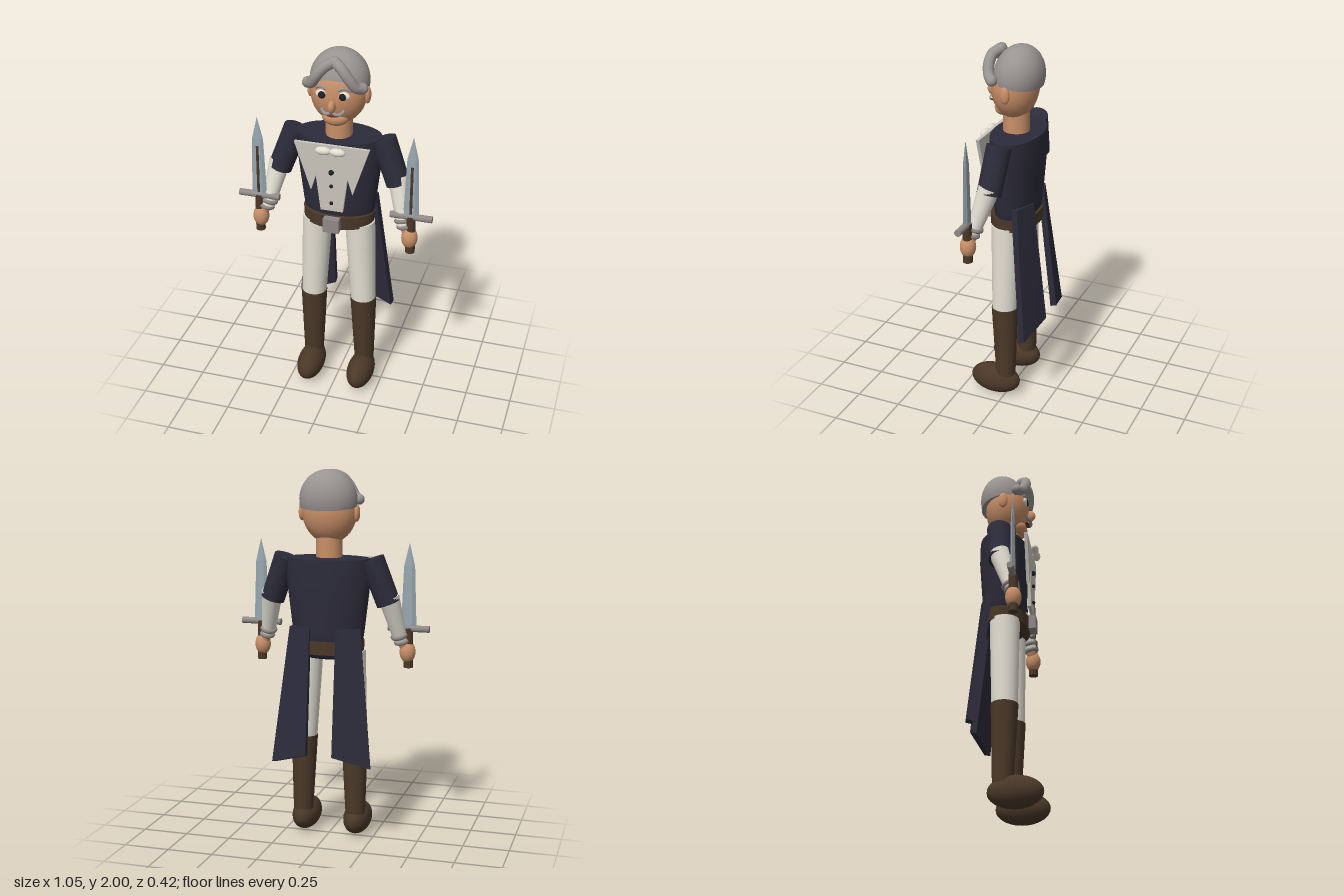
import * as THREE from 'three';

const mat = (name, color) => {
  const m = new THREE.MeshStandardMaterial({ color });
  m.name = name;
  return m;
};
const V = (x, y, z) => new THREE.Vector3(x, y, z);

export function createModel() {
  const navy = mat('navy cloth', 0x2c2b3a);
  const skin = mat('skin', 0xc98f68);
  const grey = mat('grey hair', 0x989492);
  const shirt = mat('shirt linen', 0xcac5bb);
  const white = mat('white cloth', 0xe2ded2);
  const brown = mat('brown leather', 0x4a3828);
  const steel = mat('blade steel', 0x98a7b0);
  const metal = mat('grey metal', 0x8f8987);
  const dark = mat('dark', 0x1e2026);
  const red = mat('mouth red', 0x6e2f27);

  const model = new THREE.Group();
  model.name = 'swordsman';

  const add = (name, geo, material, parent = model) => {
    const mesh = new THREE.Mesh(geo, material);
    mesh.name = name;
    parent.add(mesh);
    return mesh;
  };
  const ball = (name, m, x, y, z, rx, ry, rz) => {
    const mesh = add(name, new THREE.SphereGeometry(1, 28, 18), m);
    mesh.position.set(x, y, z);
    mesh.scale.set(rx, ry, rz);
    return mesh;
  };
  const box = (name, m, x, y, z, w, h, d) => {
    const mesh = add(name, new THREE.BoxGeometry(w, h, d), m);
    mesh.position.set(x, y, z);
    return mesh;
  };
  // Tapered cylinder running from a (radius ra) down to b (radius rb)
  const limb = (name, m, a, b, ra, rb, sides = 24) => {
    const mesh = add(name, new THREE.CylinderGeometry(ra, rb, a.distanceTo(b), sides), m);
    mesh.position.copy(a).add(b).multiplyScalar(0.5);
    mesh.quaternion.setFromUnitVectors(V(0, 1, 0), a.clone().sub(b).normalize());
    return mesh;
  };
  const tube = (name, m, pts, r) => add(name,
    new THREE.TubeGeometry(new THREE.CatmullRomCurve3(pts), 24, r, 10), m);

  // Coat body, neck and belt
  const body = [[0, 1.0], [0.125, 1.0], [0.18, 1.04], [0.196, 1.14], [0.215, 1.3],
    [0.23, 1.43], [0.226, 1.535], [0.2255, 1.536], [0, 1.54]].map(p => new THREE.Vector2(...p));
  const coat = add('coatBody', new THREE.LatheGeometry(body, 32), navy);
  coat.scale.z = 0.58;
  coat.position.z = -0.012;
  limb('neck', skin, V(0, 1.66, 0), V(0, 1.53, 0), 0.07, 0.07);
  const belt = limb('belt', brown, V(0, 1.1, -0.005), V(0, 1.03, -0.005), 0.194, 0.192, 32);
  belt.scale.z = 0.67;
  box('buckle', metal, 0, 1.067, 0.142, 0.086, 0.078, 0.04);

  // Shirt front with pointed lapels
  const half = [[0.2, 1.53], [0.112, 1.26], [0.085, 1.35], [0.06, 1.15]];
  const outline = [...half, ...half.map(([x, y]) => [-x, y]).reverse()];
  const bib = add('shirtFront', new THREE.ExtrudeGeometry(
    new THREE.Shape(outline.map(p => new THREE.Vector2(...p))),
    { depth: 0.018, bevelEnabled: false }), shirt);
  bib.position.z = 0.122;
  [[1.38, 0.014], [1.3, 0.01], [1.2, 0.01]].forEach(([y, r]) =>
    ball('button', dark, 0, y, 0.146, r, r, r));

  // Head
  ball('head', skin, 0, 1.782, 0.006, 0.148, 0.173, 0.122);
  ball('chin', skin, 0, 1.66, 0.065, 0.07, 0.045, 0.05);
  ball('nose', skin, 0, 1.745, 0.132, 0.02, 0.034, 0.03);
  const mouth = ball('mouth', red, 0, 1.69, 0.117, 0.032, 0.008, 0.012);
  mouth.rotation.x = 0.1;
  const cap = add('hairCap', new THREE.SphereGeometry(1, 32, 20, 0, Math.PI * 2, 0, Math.PI * 0.56), grey);
  cap.scale.set(0.155, 0.163, 0.13);
  cap.position.set(0, 1.836, -0.016);
  cap.rotation.x = -0.13;
  const under = add('hairUnderside', new THREE.CircleGeometry(0.98, 32).rotateX(Math.PI / 2), grey);
  under.scale.copy(cap.scale);
  under.position.set(0, 1.806, -0.016);
  under.rotation.x = -0.13;

  // Coat tail: box corners moved to a flared, splayed panel
  const coatTail = s => {
    const geo = new THREE.BoxGeometry(1, 1, 1);
    const p = geo.attributes.position;
    for (let i = 0; i < p.count; i++) {
      const out = 0.5 + s * p.getX(i), down = 0.5 - p.getY(i), front = 0.5 + p.getZ(i);
      const x = 0.072 + out * (0.123 + 0.08 * down) - 0.008 * front * out;
      const y = 1.17 - down * (0.675 + 0.06 * out) - 0.01 * front * down;
      const z = -0.13 + out * 0.045 - down * 0.078 + front * 0.034;
      p.setXYZ(i, s * x, y, z);
    }
    geo.computeVertexNormals();
    add('coatTail', geo, navy);
  };

  // Sword held upright
  const sword = x => {
    const z = 0.092;
    limb('swordGrip', brown, V(x, 1.16, z), V(x, 0.945, z), 0.024, 0.026, 12);
    limb('swordGuard', metal, V(x - 0.112, 1.157, z), V(x + 0.112, 1.157, z), 0.018, 0.018, 16);
    const prof = [[0, 1.165], [0.042, 1.165], [0.03, 1.49], [0, 1.615]]
      .map(p => new THREE.Vector2(...p));
    const geo = new THREE.LatheGeometry(prof, 6, Math.PI / 2).scale(1, 1, 0.36).toNonIndexed();
    geo.computeVertexNormals();
    add('swordBlade', geo, steel).position.set(x, 0, z);
    const groove = box('bladeGroove', brown, x, 1.315, z + 0.0125, 0.014, 0.27, 0.004);
    groove.rotation.x = -0.011;
  };

  for (const s of [1, -1]) {
    // Face details and swept forelock
    ball('ear', skin, s * 0.15, 1.772, 0, 0.017, 0.046, 0.026);
    ball('eye', white, s * 0.056, 1.802, 0.113, 0.034, 0.023, 0.014);
    ball('iris', dark, s * 0.054, 1.8, 0.124, 0.019, 0.02, 0.006);
    tube('eyebrow', grey, [V(s * 0.028, 1.832, 0.122), V(s * 0.058, 1.842, 0.115),
      V(s * 0.094, 1.826, 0.1)], 0.007);
    tube('moustache', grey, [V(0, 1.716, 0.133), V(s * 0.025, 1.704, 0.132),
      V(s * 0.045, 1.706, 0.122), V(s * 0.06, 1.722, 0.112)], 0.009);
    const lock = [V(s * 0.006, 1.965, 0.085), V(s * 0.045, 1.945, 0.112),
      V(s * 0.085, 1.895, 0.117), V(s * 0.115, 1.85, 0.1), V(s * 0.142, 1.838, 0.075)];
    tube('forelock', grey, lock, 0.029);
    ball('forelockRoot', grey, s * 0.006, 1.965, 0.085, 0.029, 0.029, 0.029);
    ball('forelockTip', grey, s * 0.142, 1.838, 0.075, 0.029, 0.029, 0.029);
    ball('bowTie', white, s * 0.038, 1.508, 0.16, 0.042, 0.022, 0.022);

    // Arm
    limb('sleeve', navy, V(s * 0.235, 1.535, -0.008), V(s * 0.322, 1.3, 0.012), 0.066, 0.064);
    limb('forearm', white, V(s * 0.322, 1.34, 0.008), V(s * 0.375, 1.09, 0.082), 0.057, 0.036);
    [[0.368, 1.118, 0.072, 0.034], [0.38, 1.088, 0.082, 0.03]].forEach(([x, y, z, r]) => {
      const cuff = add('cuffRing', new THREE.TorusGeometry(r, 0.013, 10, 24).rotateX(Math.PI / 2), metal);
      cuff.position.set(s * x, y, z);
      cuff.rotation.set(-0.25, 0, s * 0.2);
    });
    limb('wrist', skin, V(s * 0.378, 1.1, 0.08), V(s * 0.405, 1.04, 0.09), 0.028, 0.028);
    ball('hand', skin, s * 0.41, 1.03, 0.092, 0.043, 0.06, 0.042);
    sword(s * 0.415);

    // Leg
    limb('trouserLeg', white, V(s * 0.118, 1.04, 0.006), V(s * 0.142, 0.54, 0.008), 0.081, 0.068);
    limb('boot', brown, V(s * 0.142, 0.555, 0.008), V(s * 0.149, 0.13, 0), 0.072, 0.054);
    ball('foot', brown, s * 0.147, 0.086, 0.063, 0.074, 0.086, 0.144);
    coatTail(s);
  }
  return model;
}
